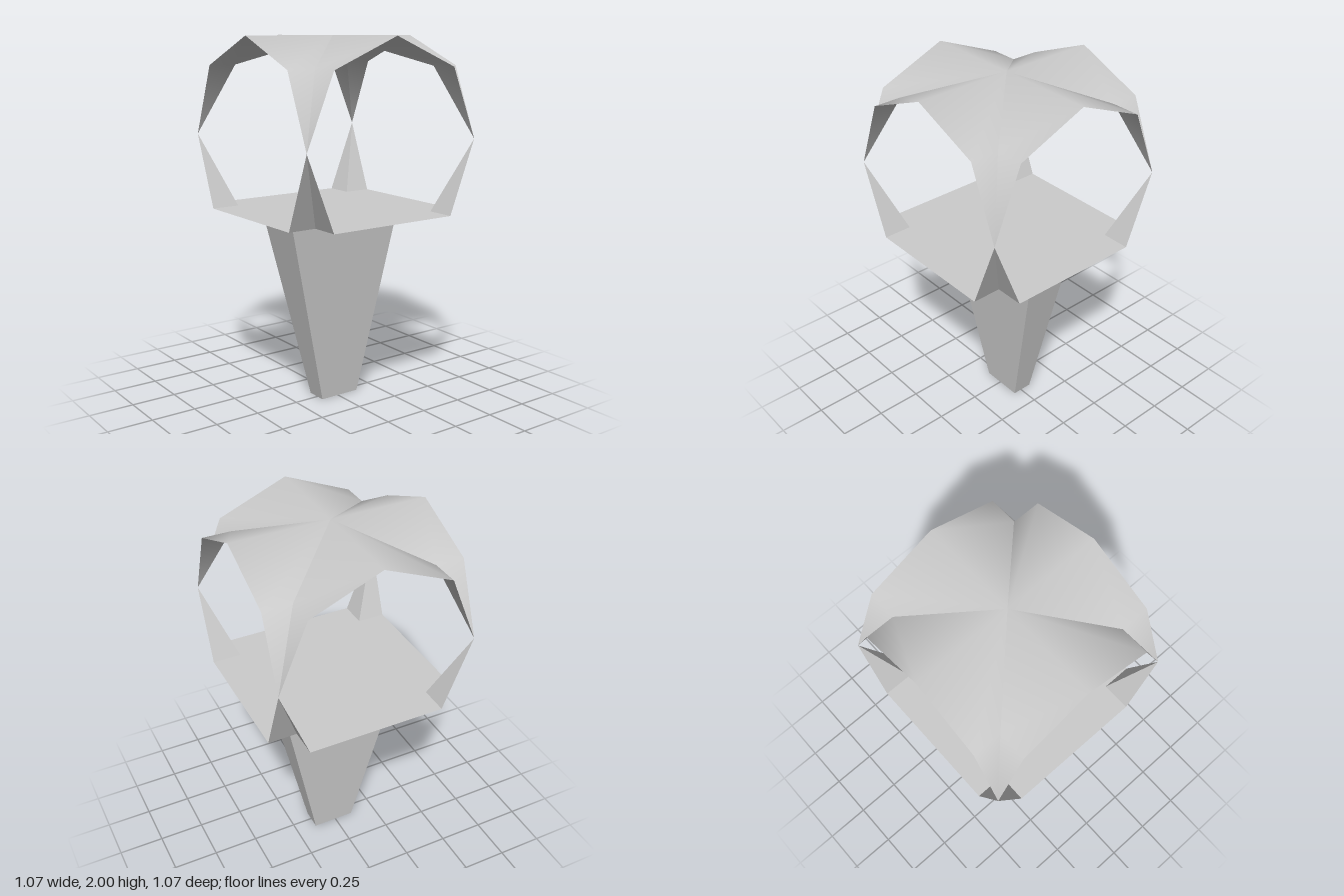
import * as THREE from 'three';

const R = 0.533;              // half width of the canopy
const S = 0.377;              // half width at the vault shoulder
const TOP = 2, SPRING = 1.467, SHOULDER = 1.844, FLOOR = 1.07;

const material = (flatShading) => new THREE.MeshStandardMaterial({
  color: 0xcccccc, side: THREE.DoubleSide, flatShading,
});
const smooth = material(false);
const flat = material(true);

function surface(points, index) {
  const g = new THREE.BufferGeometry();
  g.setAttribute('position', new THREE.Float32BufferAttribute(points.flat(), 3));
  g.setIndex(index);
  g.computeVertexNormals();
  return g;
}

function addMesh(parent, name, geometry, mat) {
  const mesh = new THREE.Mesh(geometry, mat);
  mesh.name = name;
  parent.add(mesh);
  return mesh;
}

// One arm of the groin vault: the arch profile swept from the diagonals to the rim
function vaultArm() {
  const profile = [[-R, SPRING], [-S, SHOULDER], [0, TOP], [S, SHOULDER], [R, SPRING]];
  const points = [], index = [];
  profile.forEach(([x, y], k) => {
    points.push([x, y, Math.abs(x)], [x, y, R]);
    const a = 2 * k;
    if (k < 4 && k > 0) index.push(a, a + 1, a + 3);
    if (k < 3) index.push(a, a + 3, a + 2);
  });
  return surface(points, index);
}

// Two triangular faces folded around the inner corner, meeting the vault at the tip
function cornerPost() {
  const tip = [R, SPRING, R], inner = [S, FLOOR, S];
  return surface(
    [tip, inner, [S, FLOOR, R], tip, [R, FLOOR, S], inner],
    [0, 1, 2, 3, 4, 5],
  );
}

// Cross-shaped floor with notched corners
function floorPlate() {
  const pts = [];
  for (let i = 0; i < 4; i++) {
    for (const [x, y] of [[R, -S], [R, S], [S, S]]) {
      pts.push(new THREE.Vector2(x, y).rotateAround(new THREE.Vector2(), i * Math.PI / 2));
    }
  }
  return new THREE.ShapeGeometry(new THREE.Shape(pts)).rotateX(-Math.PI / 2).translate(0, FLOOR, 0);
}

// Tapered four-sided stem, open at both ends
function stem() {
  const ring = (x0, x1, y, z0, z1) => [[x0, y, z1], [x1, y, z1], [x1, y, z0], [x0, y, z0]];
  const points = [...ring(-0.066, 0.05, 0, -0.132, 0.107), ...ring(-0.146, 0.13, FLOOR, -0.357, 0.36)];
  const index = [];
  for (let i = 0; i < 4; i++) {
    const j = (i + 1) % 4;
    index.push(i, j, j + 4, i, j + 4, i + 4);
  }
  return surface(points, index).toNonIndexed();
}

export function createModel() {
  const model = new THREE.Group();
  model.name = 'vaultedPavilion';

  const arm = vaultArm(), post = cornerPost();
  for (let i = 0; i < 4; i++) {
    addMesh(model, `vaultArm${i + 1}`, arm, smooth).rotation.y = i * Math.PI / 2;
    addMesh(model, `cornerPost${i + 1}`, post, flat).rotation.y = i * Math.PI / 2;
  }
  addMesh(model, 'floor', floorPlate(), flat);
  addMesh(model, 'stem', stem(), flat);
  return model;
}
